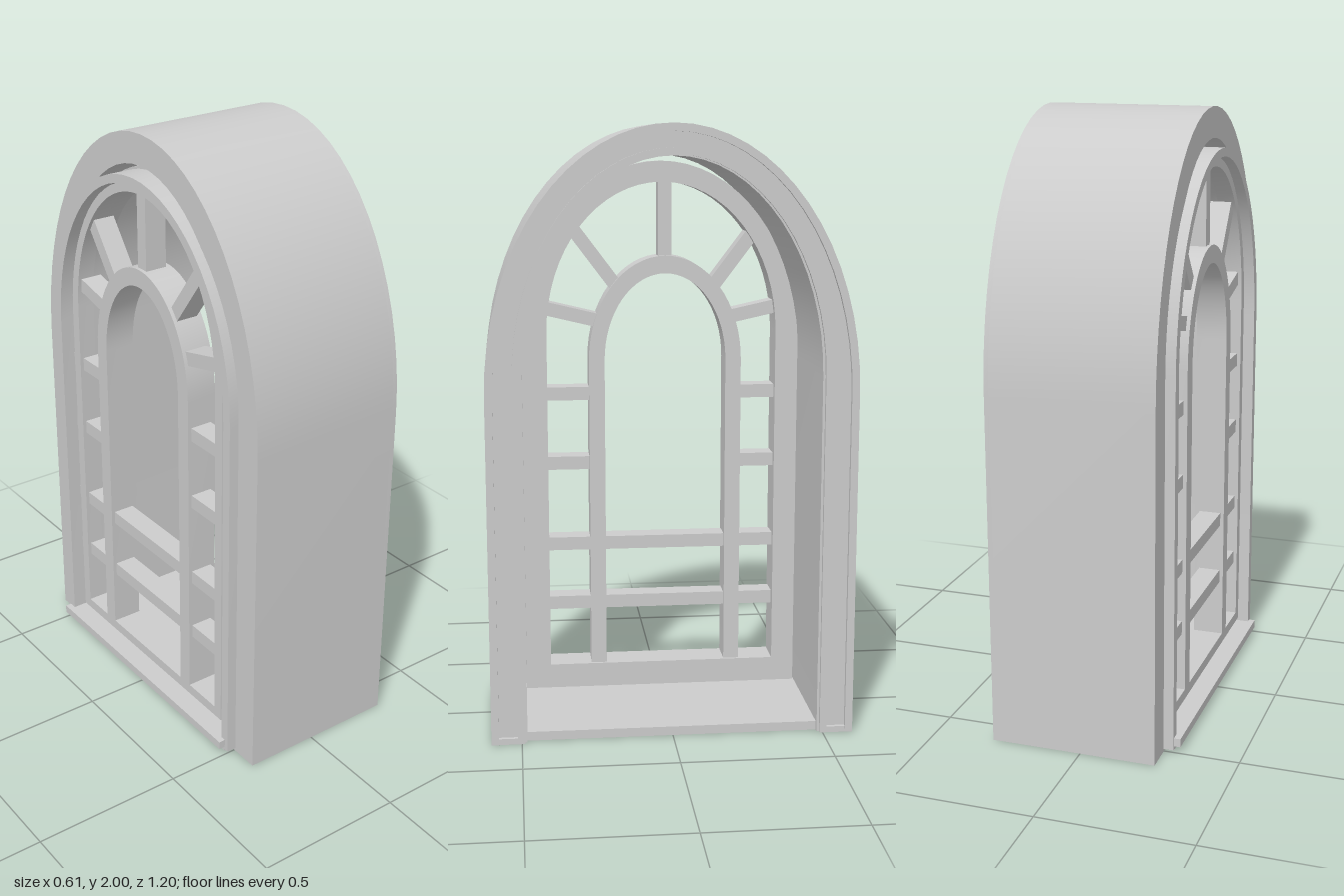
import * as THREE from 'three';
import { toCreasedNormals } from 'three/addons/utils/BufferGeometryUtils.js';

const mat = new THREE.MeshStandardMaterial({ color: 0xcccccc });

// Arch outline: straight jambs topped by a half ellipse, from right foot to left foot
function archPoints({ half, spring, top, base = 0, cx = 0 }, segments = 32) {
  const pts = [new THREE.Vector2(cx + half, base)];
  for (let i = 0; i <= segments; i++) {
    const a = (i / segments) * Math.PI;
    pts.push(new THREE.Vector2(cx + half * Math.cos(a), spring + (top - spring) * Math.sin(a)));
  }
  pts.push(new THREE.Vector2(cx - half, base));
  return pts;
}

export function createModel() {
  const model = new THREE.Group();
  model.name = 'archedWindow';
  // Parts are drawn flat and extruded in depth, then turned to face +x
  const body = new THREE.Group();
  body.name = 'windowBody';
  body.rotation.y = Math.PI / 2;
  model.add(body);

  function add(name, geometry) {
    const mesh = new THREE.Mesh(geometry, mat);
    mesh.name = name;
    body.add(mesh);
    return mesh;
  }

  // Ring between two arches; closed rings keep a bottom rail
  function arch(name, outer, inner, d0, d1, closed = false) {
    const out = archPoints(outer), inn = archPoints(inner);
    const shape = new THREE.Shape(closed ? out : [...out, ...inn.reverse()]);
    if (closed) shape.holes.push(new THREE.Path(inn));
    const geo = new THREE.ExtrudeGeometry(shape, { depth: d1 - d0, bevelEnabled: false });
    geo.translate(0, 0, d0);
    return add(name, toCreasedNormals(geo, 0.5));
  }

  function box(name, u0, u1, y0, y1, d0, d1) {
    const geo = new THREE.BoxGeometry(u1 - u0, y1 - y0, d1 - d0);
    geo.translate((u0 + u1) / 2, (y0 + y1) / 2, (d0 + d1) / 2);
    return add(name, geo);
  }

  // Glazing bar between two points
  function bar(name, u0, y0, u1, y1, width = 0.046) {
    const geo = new THREE.BoxGeometry(Math.hypot(u1 - u0, y1 - y0), width, 0.075);
    const mesh = add(name, geo);
    mesh.position.set((u0 + u1) / 2, (y0 + y1) / 2, -0.205);
    mesh.rotation.z = Math.atan2(y1 - y0, u1 - u0);
  }

  // Deep wall surround with raised mouldings along its open face
  const outer = { half: 0.6, spring: 1.15, top: 2 };
  const opening = { half: 0.482, spring: 1.2, top: 1.9 };
  arch('wallSurround', outer, opening, -0.25, 0.285);
  arch('outerMoulding', outer, { half: 0.575, spring: 1.15, top: 1.975 }, 0.285, 0.3);
  arch('innerMoulding', { half: 0.513, spring: 1.2, top: 1.925 }, { half: 0.49, spring: 1.2, top: 1.905 }, 0.285, 0.298);
  for (const s of [-1, 1]) {
    box('mouldingFoot', s * 0.545 - 0.032, s * 0.545 + 0.032, 0, 0.02, 0.285, 0.298);
  }

  // Floor of the opening and projecting sill
  box('floorSlab', -0.483, 0.483, 0, 0.03, -0.28, 0.27);
  box('sill', -0.49, 0.5, 0.022, 0.05, -0.305, -0.2);

  // Stepped window frame
  arch('frameRim', { half: 0.505, spring: 1.23, top: 1.87, base: 0.01 },
    { half: 0.472, spring: 1.23, top: 1.842, base: 0.045 }, -0.283, -0.19, true);
  const light = { half: 0.396, spring: 1.3, top: 1.81, base: 0.115, cx: 0.004 };
  arch('windowFrame', { half: 0.478, spring: 1.25, top: 1.88, base: 0.03 }, light, -0.195, -0.14, true);
  arch('frameBead', { half: 0.432, spring: 1.28, top: 1.84, base: 0.08, cx: 0.004 }, light, -0.255, -0.195, true);

  // Inner arch
  const cx = 0.017;
  arch('innerArch', { half: 0.264, spring: 1.2, top: 1.56, base: 0.1, cx },
    { half: 0.21, spring: 1.2, top: 1.5, base: 0.1, cx }, -0.255, -0.15);

  // Horizontal bars: two across the full width, two on each side of the inner arch
  for (const y of [0.335, 0.55]) bar('crossBar', -0.455, y, 0.46, y);
  for (const y of [0.84, 1.085]) {
    bar('sideBar', -0.455, y, -0.225, y);
    bar('sideBar', 0.25, y, 0.46, y);
  }

  // Radiating bars around the arch head
  bar('fanBar', cx, 1.53, cx, 1.83);
  bar('fanBar', -0.3, 1.655, -0.15, 1.455);
  bar('fanBar', 0.325, 1.64, 0.185, 1.455);
  bar('fanBar', -0.43, 1.39, -0.21, 1.337);
  bar('fanBar', 0.435, 1.39, 0.24, 1.347);

  return model;
}
